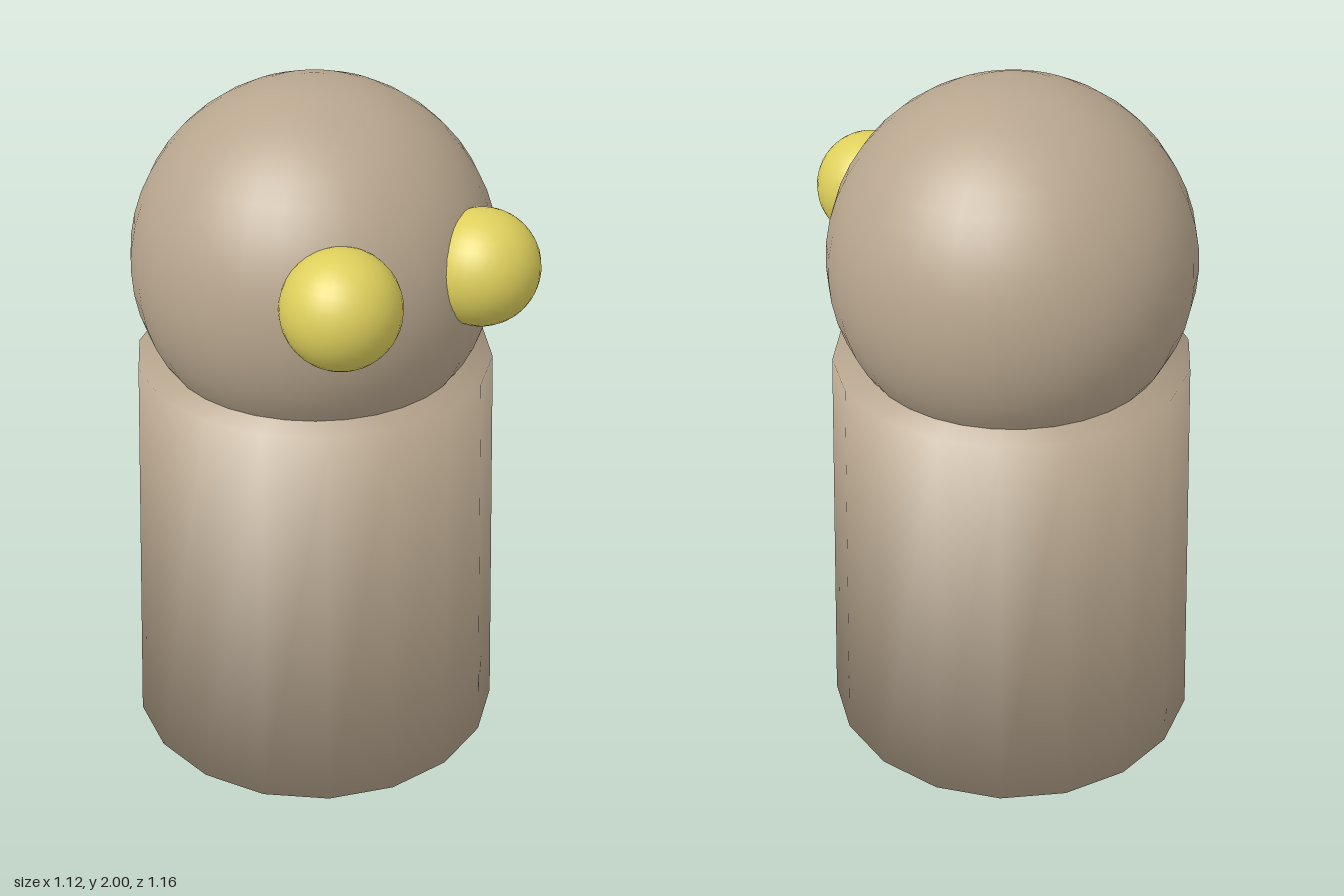
import * as THREE from 'three';

const Z = -0.03; // the body axis sits slightly behind the centre

const skin = new THREE.MeshStandardMaterial({ color: 0xb8a68e });
skin.name = 'taupe';
const yellow = new THREE.MeshStandardMaterial({ color: 0xdecf5c });
yellow.name = 'yellow';

function addPart(group, name, geometry, material, x, y, z) {
  const mesh = new THREE.Mesh(geometry, material);
  mesh.name = name;
  mesh.position.set(x, y, z);
  group.add(mesh);
  return mesh;
}

// Tapered 18-sided column whose shading runs smoothly over the rims
function bodyGeometry() {
  const geometry = new THREE.CylinderGeometry(0.51, 0.56, 1.2, 18, 1);
  geometry.rotateY(Math.PI / 2);
  const p = geometry.attributes.position;
  const normal = new THREE.Vector3();
  for (let i = 0; i < p.count; i++) {
    normal.set(p.getX(i), 0, p.getZ(i)).normalize();
    normal.y = Math.sign(p.getY(i));
    normal.normalize();
    geometry.attributes.normal.setXYZ(i, normal.x, normal.y, normal.z);
  }
  return geometry;
}

export function createModel() {
  const model = new THREE.Group();
  model.name = 'figure';

  addPart(model, 'body', bodyGeometry(), skin, 0, 0.6, Z);
  addPart(model, 'head', new THREE.SphereGeometry(0.512, 32, 24), skin, 0, 1.488, Z);

  // Bulging eyes, mirrored left and right
  const eye = new THREE.SphereGeometry(0.158, 32, 20);
  for (const [name, side] of [['leftEye', 1], ['rightEye', -1]]) {
    addPart(model, name, eye, yellow, side * 0.226, 1.57, 0.422);
  }
  return model;
}
